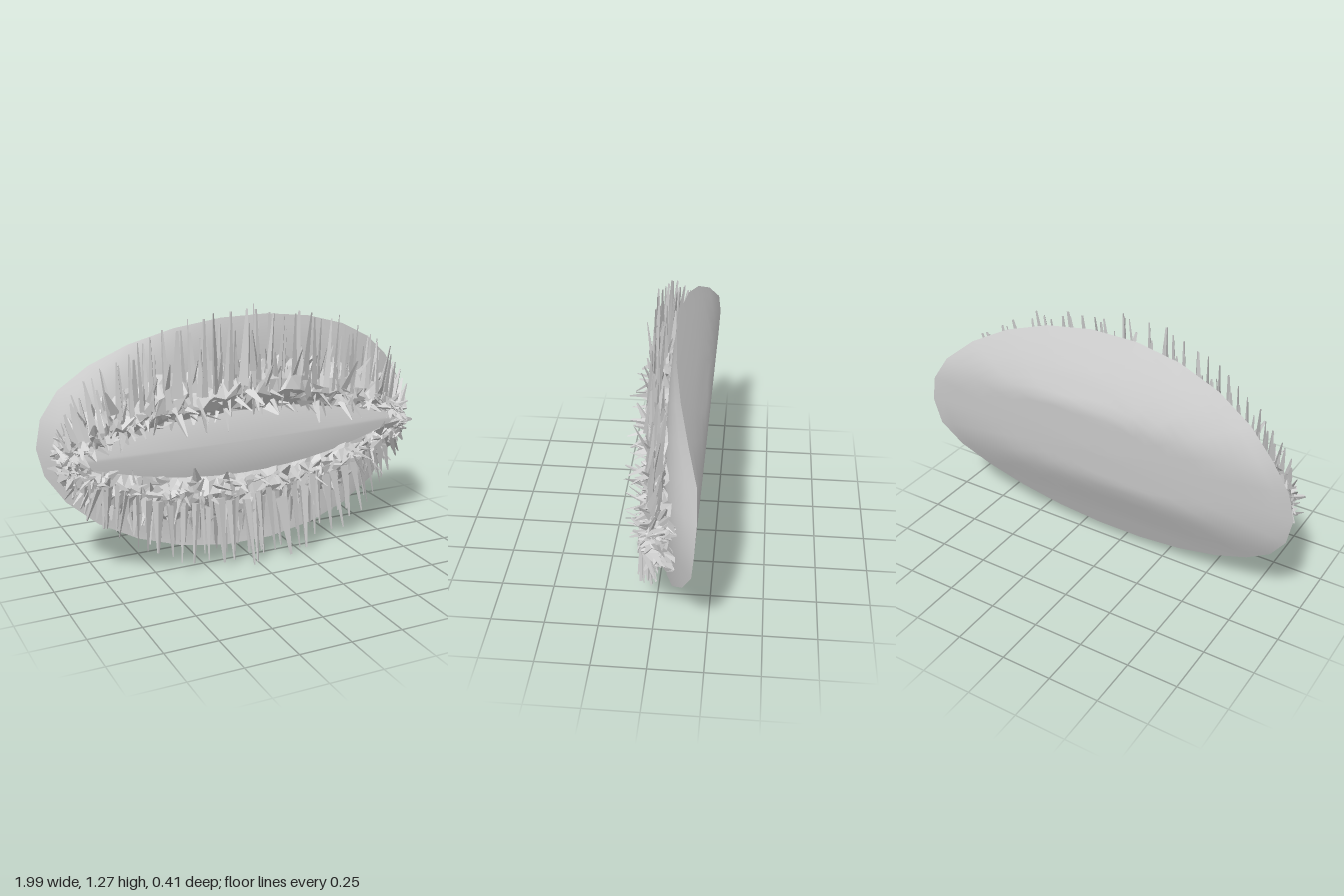
import * as THREE from 'three';
import { mergeGeometries } from 'three/addons/utils/BufferGeometryUtils.js';

const TAU = Math.PI * 2;
const V = (x, y, z) => new THREE.Vector3(x, y, z);

// Small seeded random generator
let seed = 7;
function rnd(a = 0, b = 1) {
  seed = (seed * 16807) % 2147483647;
  return a + (b - a) * (seed / 2147483647);
}

// Surface swept from closed rings; point(i, angle) gives each corner
function rings(count, steps, point) {
  const pos = [], idx = [];
  for (let i = 0; i < count; i++)
    for (let j = 0; j < steps; j++) pos.push(...point(i, (j / steps) * TAU).toArray());
  for (let i = 0; i < count - 1; i++)
    for (let j = 0; j < steps; j++) {
      const a = i * steps + j, b = i * steps + ((j + 1) % steps);
      idx.push(a, a + steps, b, b, a + steps, b + steps);
    }
  const g = new THREE.BufferGeometry();
  g.setAttribute('position', new THREE.Float32BufferAttribute(pos, 3));
  g.setIndex(idx);
  g.computeVertexNormals();
  return g;
}

// Depth of the shell back, depending on height only
const SHELL = [[0.06, 0], [0.22, -0.07], [0.41, -0.16], [0.48, -0.185], [0.65, -0.2],
  [0.87, -0.212], [1.0, -0.16], [1.1, -0.11], [1.22, -0.045]];
function shellZ(y) {
  for (let i = 1; i < SHELL.length; i++) {
    const [y0, z0] = SHELL[i - 1], [y1, z1] = SHELL[i];
    if (y <= y1) return z0 + (z1 - z0) * Math.max(0, (y - y0) / (y1 - y0));
  }
  return SHELL[SHELL.length - 1][1];
}

// Point on the pointed slit outline, moved outward by d
function slit(t, d, z) {
  const c = Math.cos(t), s = Math.sin(t), a = Math.abs(s);
  return V(-0.015 + (0.87 + 0.2 * d) * c, 0.605 + 0.15 * s * a + d * Math.sign(s) * a ** 0.6, z);
}

// Flat three-sided shard from base to tip
function blade(base, tip, width) {
  const dir = tip.clone().sub(base), len = dir.length();
  const g = new THREE.CylinderGeometry(width * 0.2, width, len, 3, 1, true).toNonIndexed();
  g.scale(1, 1, 0.45);
  g.rotateY(rnd(0, TAU));
  g.translate(0, len / 2, 0);
  g.applyQuaternion(new THREE.Quaternion().setFromUnitVectors(V(0, 1, 0), dir.normalize()));
  g.translate(base.x, base.y, base.z);
  g.computeVertexNormals();
  return g;
}

export function createModel() {
  seed = 7;
  const model = new THREE.Group();
  const grey = new THREE.MeshStandardMaterial({ color: 0xcccccc, side: THREE.DoubleSide });
  grey.name = 'plain grey';
  const add = (name, geometry) => {
    const m = new THREE.Mesh(geometry, grey);
    m.name = name;
    model.add(m);
  };

  // Oval shell: curved back and a gently domed front meeting at the rim
  const rimY = (t, r) => 0.637 + 0.568 * r * Math.sin(t);
  add('shellBack', rings(15, 26, (i, t) => {
    const r = i / 14, y = rimY(t, r);
    return V(0.995 * r * Math.cos(t), y, shellZ(y));
  }));
  add('shellFront', rings(15, 26, (i, t) => {
    const r = i / 14, mix = r ** 5;
    return V(0.995 * r * Math.cos(t), rimY(t, r), -0.025 * (1 - mix) + shellZ(rimY(t, 1)) * mix);
  }));

  // Smooth almond panel inside the slit, leaning back a little
  add('slitPanel', rings(7, 48, (i, t) => {
    const r = i / 6, p = slit(t, 0.015, 0), y = (p.y - 0.605) * r;
    return V(p.x * r, 0.605 + y, 0.015 - 0.03 * r * r - 0.12 * y);
  }));

  // Rough lip around the slit, sinking into the shell front
  const LIP = [[0, -0.02], [0.035, 0.03], [0.09, 0.065], [0.15, 0.05], [0.21, 0.01], [0.25, -0.025]];
  const lip = rings(LIP.length, 110, (i, t) => {
    const [d, z] = LIP[i], e = Math.cos(t) ** 2, j = i === 0 ? 0.008 : 0.022;
    const p = slit(t, d, z - 0.075 * e * (i > 0 ? 1 : 0.2));
    return p.add(V(rnd(-j, j), rnd(-j, j), rnd(-j, j)));
  }).toNonIndexed();
  lip.computeVertexNormals();
  add('lip', lip);

  // Long shards radiating to the rim, in two uneven layers
  const long = [];
  const longCount = 170;
  for (let k = 0; k < longCount; k++) {
    const t = ((k + rnd(-0.3, 0.3)) / longCount) * TAU;
    const c = Math.cos(t), s = Math.sin(t), layer = k % 2;
    const base = slit(t, rnd(0.07, 0.15), 0.075 - 0.015 * s - 0.085 * c * c - 0.03 * layer);
    const tip = V(0.94 * c + rnd(-0.025, 0.025), 0.635 + 0.63 * s,
      0.08 - 0.035 * s - 0.14 * c * c - 0.03 * layer + rnd(-0.02, 0.025));
    const reach = layer ? rnd(0.65, 0.92) : rnd(0.88, 1);
    long.push(blade(base, base.clone().lerp(tip, reach), rnd(0.022, 0.034)));
  }
  // Highest and lowest shards
  long.push(blade(V(0, 0.35, 0.06), V(0, 0, 0.1), 0.025), blade(V(0, 0.88, 0.06), V(0.005, 1.272, 0.035), 0.025));
  add('longShards', mergeGeometries(long));

  // Middle shards filling the gaps
  const mid = [];
  for (let k = 0; k < 240; k++) {
    const t = ((k + rnd()) / 240) * TAU, c = Math.cos(t), s = Math.sin(t);
    const base = slit(t, rnd(0.06, 0.22), rnd(0.0, 0.07) - 0.08 * c * c);
    const out = rnd(0.08, 0.2) * (0.45 + 0.55 * Math.abs(s));
    const tip = base.clone().add(V(c * 0.02 + rnd(-0.04, 0.04), s * out, rnd(-0.05, 0.06)));
    mid.push(blade(base, tip, rnd(0.018, 0.03)));
  }
  add('middleShards', mergeGeometries(mid));

  // Short tufts standing forward and leaning over the slit
  const tufts = [];
  for (let k = 0; k < 300; k++) {
    const t = ((k + rnd()) / 300) * TAU, c = Math.cos(t), s = Math.sin(t);
    const base = slit(t, rnd(0.02, 0.12), 0.045 - 0.06 * c * c);
    const forward = rnd(0.01, s < 0 ? 0.16 : 0.13) * (1 - 0.55 * c * c);
    const lean = rnd(-0.085, 0.03) * (0.4 + 0.6 * Math.abs(s)) * Math.sign(s);
    const tip = base.clone().add(V(rnd(-0.04, 0.04), lean, forward));
    tufts.push(blade(base, tip, rnd(0.014, 0.028)));
  }
  add('slitTufts', mergeGeometries(tufts));

  return model;
}
